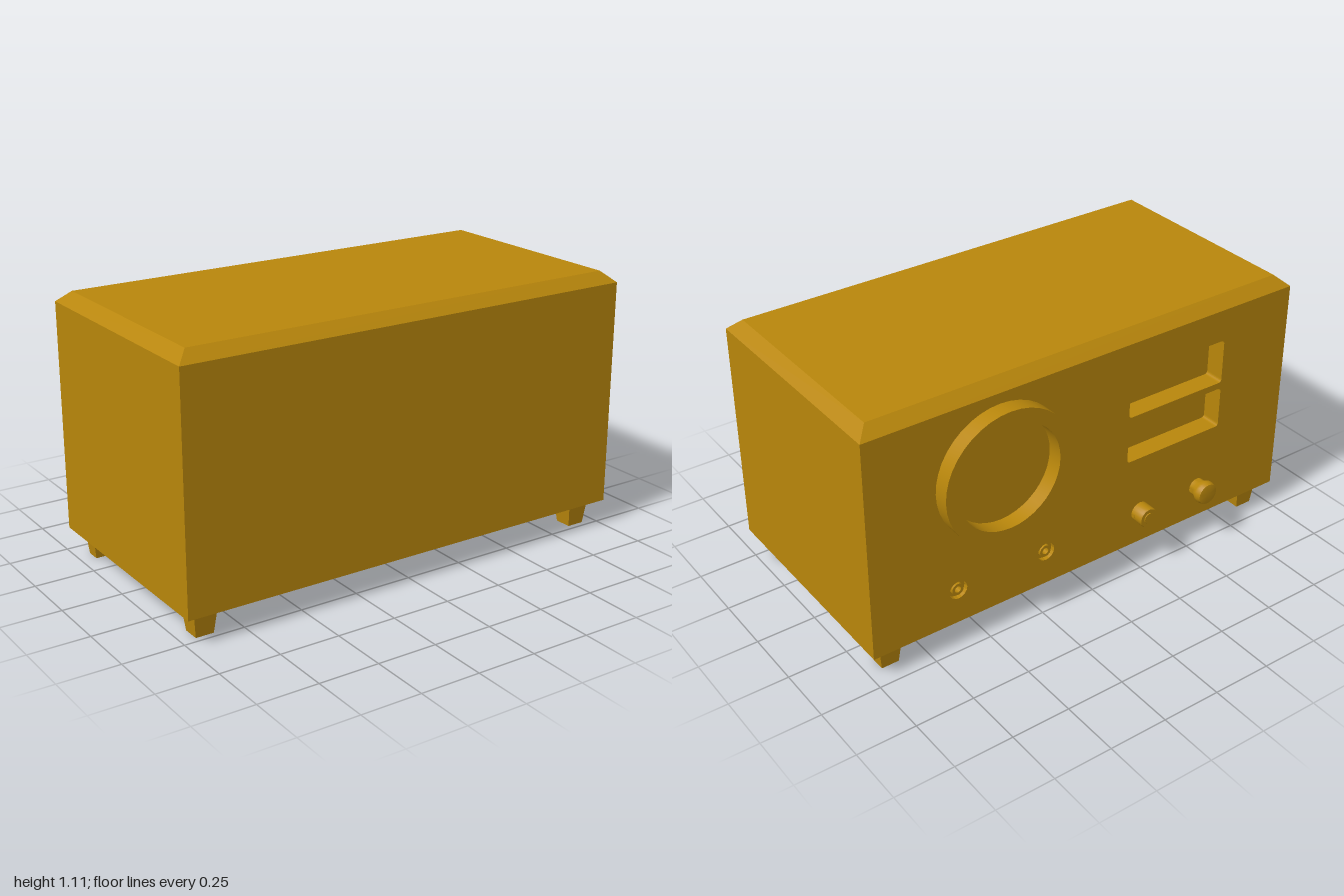
import * as THREE from 'three';
import { toCreasedNormals } from 'three/addons/utils/BufferGeometryUtils.js';

const BACK = -0.465, DEPTH = 0.085, FRONT = 0.535;
const mat = new THREE.MeshStandardMaterial({ color: 0xb8860b });

export function createModel() {
  const model = new THREE.Group();

  const add = (name, geometry, x = 0, y = 0, z = 0) => {
    const mesh = new THREE.Mesh(geometry, mat);
    mesh.name = name;
    mesh.position.set(x, y, z);
    model.add(mesh);
    return mesh;
  };

  // Box whose top and bottom may differ in size
  const taperedBox = (topW, topD, botW, botD, h) => {
    const g = new THREE.BoxGeometry(1, h, 1);
    const p = g.attributes.position;
    for (let i = 0; i < p.count; i++) {
      const top = p.getY(i) > 0;
      p.setX(i, p.getX(i) * (top ? topW : botW));
      p.setZ(i, p.getZ(i) * (top ? topD : botD));
    }
    const flat = g.toNonIndexed();
    flat.computeVertexNormals();
    return flat;
  };

  // Turned part: profile of [radius, distance out of the panel]
  const turned = (profile, segments = 32) => {
    const pts = profile.map(([r, d]) => new THREE.Vector2(r, d));
    const g = new THREE.LatheGeometry(pts, segments).rotateX(-Math.PI / 2);
    return toCreasedNormals(g, 0.6);
  };

  // Cabinet with a bevelled top
  const blockDepth = FRONT - BACK - DEPTH;
  add('cabinet', new THREE.BoxGeometry(2, 0.95, blockDepth), 0, 0.585, FRONT - blockDepth / 2);
  add('bevelledTop', taperedBox(1.9, 0.9, 2, 1, 0.045), 0, 1.0825, (FRONT + BACK) / 2);

  // Control panel with two windows and two socket holes
  const panel = new THREE.Shape();
  panel.moveTo(-1, 0.11).lineTo(1, 0.11).lineTo(1, 1.06).lineTo(-1, 1.06).closePath();
  const windowHole = (x0, x1, y0, y1, r) => {
    const h = new THREE.Path();
    h.moveTo(x0 + r, y0).lineTo(x1 - r, y0).quadraticCurveTo(x1, y0, x1, y0 + r);
    h.lineTo(x1, y1 - r).quadraticCurveTo(x1, y1, x1 - r, y1);
    h.lineTo(x0 + r, y1).quadraticCurveTo(x0, y1, x0, y1 - r);
    h.lineTo(x0, y0 + r).quadraticCurveTo(x0, y0, x0 + r, y0);
    panel.holes.push(h);
  };
  windowHole(-0.66, -0.185, 0.73, 0.922, 0.015);
  windowHole(-0.66, -0.185, 0.522, 0.702, 0.015);
  const sockets = [0.62, 0.21];
  for (const x of sockets) {
    const h = new THREE.Path();
    h.absarc(x, 0.262, 0.04, 0, Math.PI * 2, true);
    panel.holes.push(h);
  }
  const panelGeo = new THREE.ExtrudeGeometry(panel, { depth: DEPTH, bevelEnabled: false, curveSegments: 8 });
  add('controlPanel', panelGeo, 0, 0, BACK);

  // Sockets: a sleeve around a dark bore, set into the holes
  for (const x of sockets) {
    add('socket', turned([[0.04, -0.02], [0.026, -0.02], [0.026, -0.004], [0.014, -0.004], [0.014, -0.05], [0, -0.05]]
      .reverse().map(([r, d]) => [r, d]), 20), x, 0.262, BACK).material = new THREE.MeshStandardMaterial({ color: 0xb8860b, side: THREE.DoubleSide });
  }

  // Speaker ring
  add('speakerRing', turned([[0.283, 0], [0.283, 0.067], [0.225, 0.067], [0.225, 0]], 40), 0.423, 0.733, BACK);

  // Knobs
  add('largeKnob', turned([[0.038, 0], [0.038, 0.022], [0.05, 0.045], [0.05, 0.058],
    [0.045, 0.073], [0.036, 0.075], [0, 0.075]], 24), -0.565, 0.26, BACK);
  add('smallKnob', turned([[0.043, 0], [0.043, 0.055], [0.04, 0.06], [0.024, 0.06],
    [0.024, 0.064], [0, 0.064]], 24), -0.262, 0.26, BACK);
  add('knobScrew', new THREE.CylinderGeometry(0.009, 0.009, 0.006, 12).rotateZ(Math.PI / 2), -0.22, 0.262, BACK - 0.012);

  // Tapered feet
  for (const x of [-0.902, 0.902]) {
    add('frontFoot', taperedBox(0.1, 0.1, 0.075, 0.073, 0.11), x, 0.055, 0.438);
    add('backFoot', taperedBox(0.1, 0.08, 0.075, 0.06, 0.11), x, 0.055, -0.382);
  }
  return model;
}
